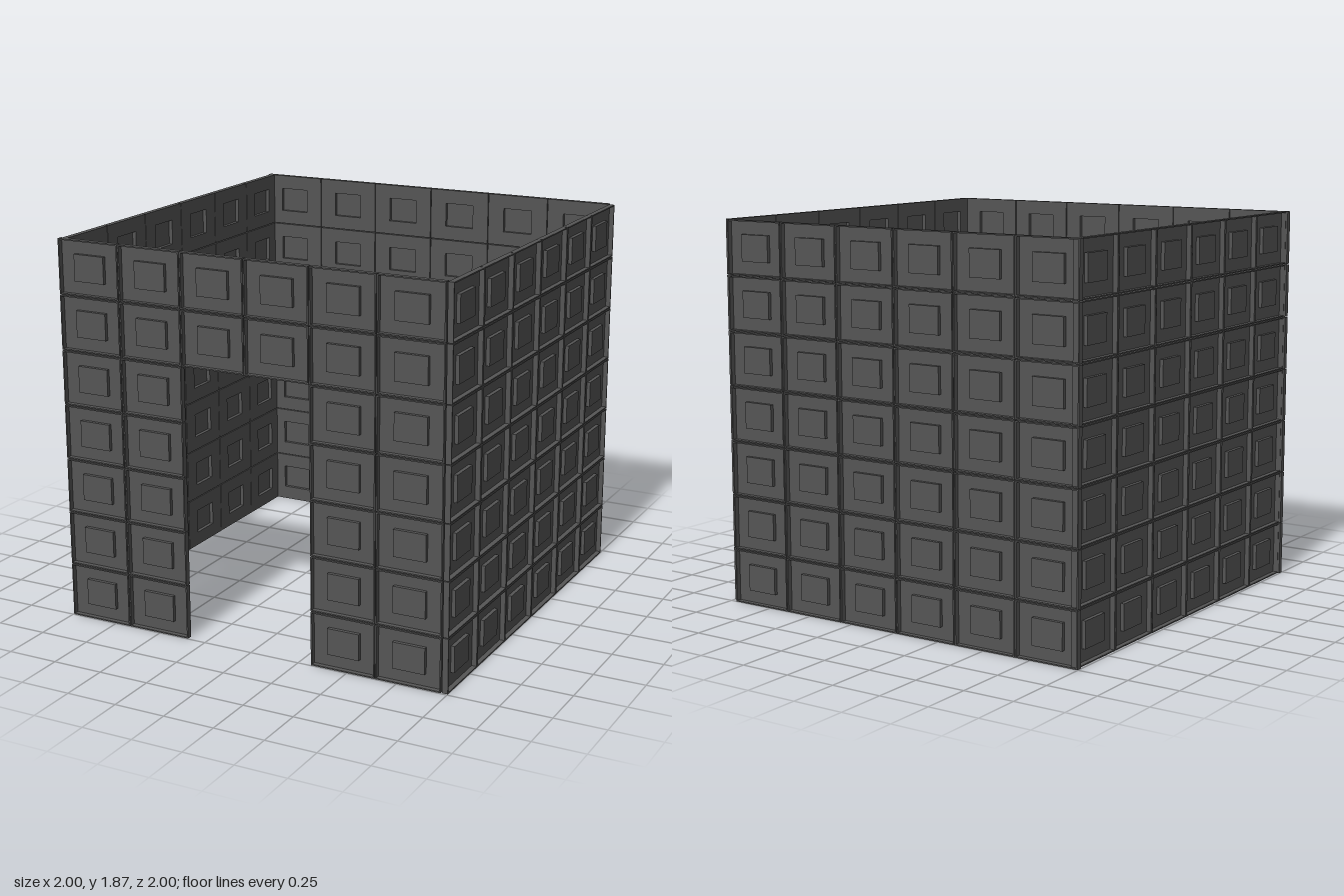
import * as THREE from 'three';
import { mergeGeometries } from 'three/addons/utils/BufferGeometryUtils.js';

const COLS = 6, ROWS = 7;
const CELL_W = 0.328, CELL_H = 0.267, GAP = 0.004;
const DEPTH = 0.028, SHEET = 0.004;
const POCKET_W = 0.16, POCKET_H = 0.128, POCKET_D = 0.022;

function rect(path, w, h) {
  path.moveTo(-w / 2, -h / 2);
  path.lineTo(w / 2, -h / 2);
  path.lineTo(w / 2, h / 2);
  path.lineTo(-w / 2, h / 2);
  path.closePath();
  return path;
}

// Rectangular ring from an outer and an inner size, extruded outward
function ring(w, h, innerW, innerH, depth) {
  const shape = rect(new THREE.Shape(), w, h);
  shape.holes.push(rect(new THREE.Path(), innerW, innerH));
  return new THREE.ExtrudeGeometry(shape, { depth, bevelEnabled: false });
}

// Pressed tray: rim flange, back sheet and a pocket pushed outward
function panelGeometry() {
  const w = CELL_W - GAP, h = CELL_H - GAP, rim = 0.006, t = 0.003;
  const openW = POCKET_W - 2 * t, openH = POCKET_H - 2 * t;
  const cap = new THREE.BoxGeometry(POCKET_W, POCKET_H, t).toNonIndexed();
  cap.translate(0, 0, POCKET_D - t / 2);
  return mergeGeometries([
    ring(w, h, w - 2 * rim, h - 2 * rim, DEPTH),
    ring(w - rim, h - rim, openW, openH, SHEET),
    ring(POCKET_W, POCKET_H, openW, openH, POCKET_D - t),
    cap,
  ]);
}

export function createModel() {
  const model = new THREE.Group();
  model.name = 'panelEnclosure';

  const darkGrey = new THREE.MeshStandardMaterial({ color: 0x555555 });
  darkGrey.name = 'darkGrey';
  const geometry = panelGeometry();

  // Grid of panels facing local +z; cells where isOpen is true stay empty
  function addWall(name, x, z, turn, isOpen = () => false) {
    const wall = new THREE.Group();
    wall.name = name;
    for (let row = 0; row < ROWS; row++) {
      for (let col = 0; col < COLS; col++) {
        if (isOpen(col, row)) continue;
        const panel = new THREE.Mesh(geometry, darkGrey);
        panel.name = 'panel';
        panel.position.set((col - (COLS - 1) / 2) * CELL_W, (row + 0.5) * CELL_H, 0);
        wall.add(panel);
      }
    }
    wall.position.set(x, 0, z);
    wall.rotation.y = turn;
    model.add(wall);
  }

  // Front wall with a doorway two panels wide and five high
  addWall('frontWall', -0.015, 0.968, 0, (col, row) => (col === 2 || col === 3) && row < 5);
  addWall('backWall', -0.015, -0.972, Math.PI);
  addWall('leftWall', 0.972, 0.01, Math.PI / 2);
  addWall('rightWall', -0.96, -0.01, -Math.PI / 2);

  return model;
}
